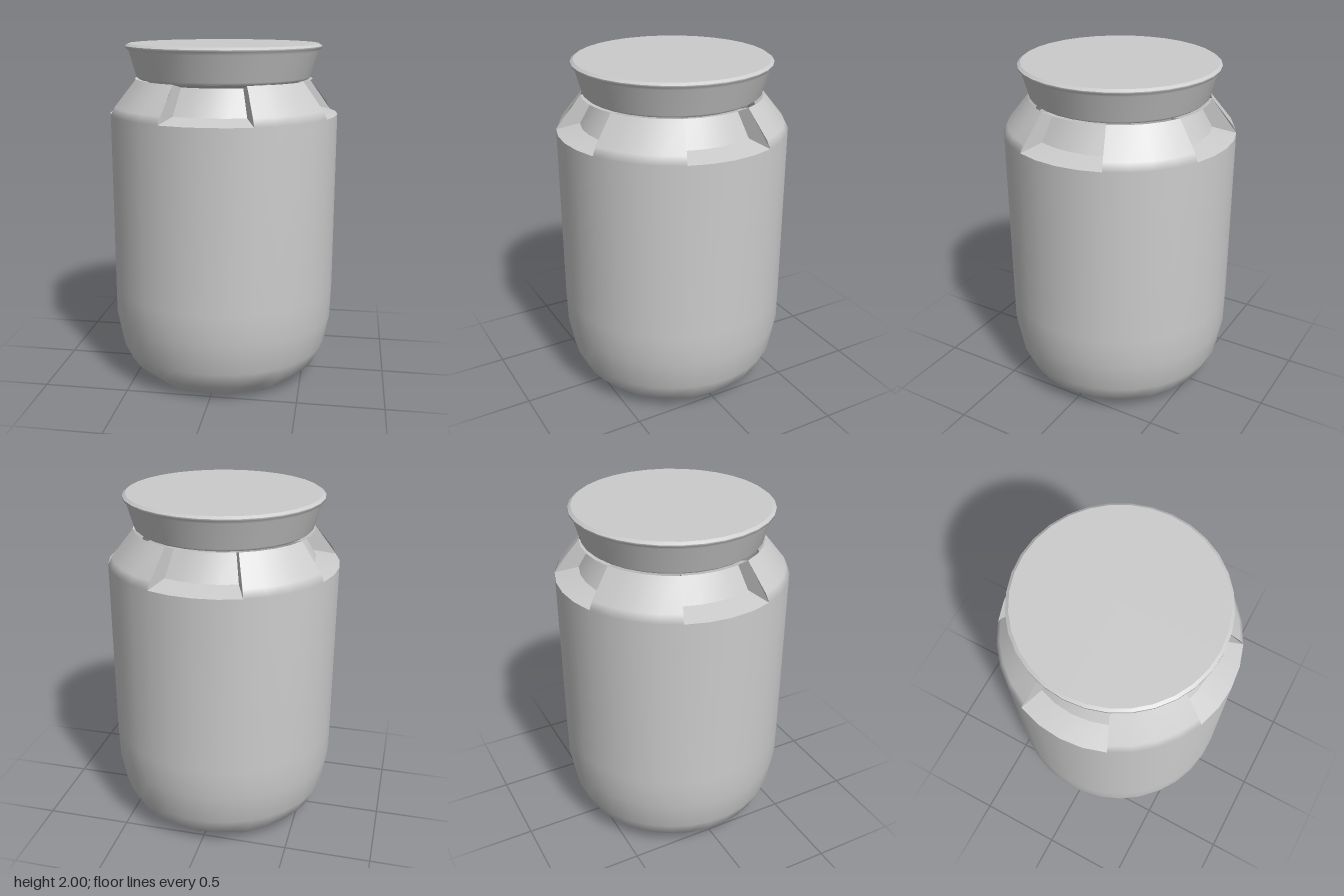
import * as THREE from 'three';
import { mergeGeometries, mergeVertices } from 'three/addons/utils/BufferGeometryUtils.js';

const SIDES = 32;
const STEP = (Math.PI * 2) / SIDES;
const material = new THREE.MeshStandardMaterial({ color: 0xcccccc, side: THREE.DoubleSide });

// A point at radius r, height y and angular step t (0 = front)
const at = (r, y, t) => [r * Math.sin(t * STEP), y, r * Math.cos(t * STEP)];

// Sweep a profile of [radius, height, optional step rule] from step i0 to i1
function sweep(profile, i0, i1) {
  const pos = [], index = [], n = i1 - i0 + 1;
  for (const [r, y, rule] of profile) {
    for (let i = i0; i <= i1; i++) pos.push(...at(r, y, rule ? rule(i) : i));
  }
  for (let j = 0; j < profile.length - 1; j++) {
    for (let i = 0; i < n - 1; i++) {
      const a = j * n + i, b = a + n;
      index.push(a, a + 1, b + 1, a, b + 1, b);
    }
  }
  const g = new THREE.BufferGeometry();
  g.setAttribute('position', new THREE.Float32BufferAttribute(pos, 3));
  g.setIndex(index);
  return g;
}

// Weld pieces into one smooth surface
function smooth(...pieces) {
  const g = mergeVertices(mergeGeometries(pieces), 1e-4);
  g.computeVertexNormals();
  return g;
}

// Flat radial side wall following a closed profile
function sideWall(profile, t, flip) {
  const g = new THREE.BufferGeometry();
  g.setAttribute('position', new THREE.Float32BufferAttribute(profile.flatMap(([r, y]) => at(r, y, t)), 3));
  g.setIndex(flip ? [0, 2, 1, 0, 3, 2] : [0, 1, 2, 0, 2, 3]);
  g.computeVertexNormals();
  return g;
}

export function createModel() {
  const model = new THREE.Group();
  const add = (name, geometry, parent = model) => {
    const mesh = new THREE.Mesh(geometry, material);
    mesh.name = name;
    parent.add(mesh);
  };

  // Base polygon uses only every third side of the body
  const half = (i) => i + 0.5;
  const coarse = (i) => Math.min(20.5, -11.5 + 3 * Math.round((i + 12) / 3));
  add('base', smooth(sweep([[0, 0], [0.475, 0, coarse]], -12, 20)));

  // Rounded body, with four solid shoulder sections between the grip recesses
  const body = sweep([
    [0.475, 0, coarse], [0.585, 0.1, half], [0.632, 0.2, half], [0.665, 0.38, half],
    [0.668, 0.56], [0.668, 1.6],
  ], -12, 20);
  const shoulders = [0, 1, 2, 3].map((k) =>
    sweep([[0.668, 1.6], [0.645, 1.645], [0.52, 1.8]], 8 * k + 2, 8 * k + 6));
  add('body', smooth(body, ...shoulders));

  // Grip recesses cut into the shoulder on all four sides
  const recess = [[0.668, 1.6], [0.53, 1.63], [0.445, 1.78], [0.52, 1.8]];
  const outline = [recess[0], recess[1], recess[2], recess[3]];
  for (let k = 0; k < 4; k++) {
    const grip = new THREE.Group();
    grip.name = 'gripRecess';
    const from = 8 * k - 2, to = 8 * k + 2;
    ['recessFloor', 'recessBackWall', 'recessCeiling'].forEach((name, j) =>
      add(name, smooth(sweep(recess.slice(j, j + 2), from, to)), grip));
    add('recessSideWall', sideWall(outline, from, true), grip);
    add('recessSideWall', sideWall(outline, to, false), grip);
    model.add(grip);
  }

  // Flared lid with a small rolled rim
  add('lidUnderside', smooth(sweep([[0, 1.8], [0.495, 1.8]], 0, SIDES)));
  add('lidSide', smooth(sweep([
    [0.495, 1.8], [0.513, 1.815], [0.553, 1.96], [0.571, 1.978], [0.571, 1.988],
  ], 0, SIDES)));
  add('lidRim', smooth(sweep([[0.571, 1.988], [0.554, 2]], 0, SIDES)));
  add('lidTop', smooth(sweep([[0.554, 2], [0, 2]], 0, SIDES)));

  return model;
}
